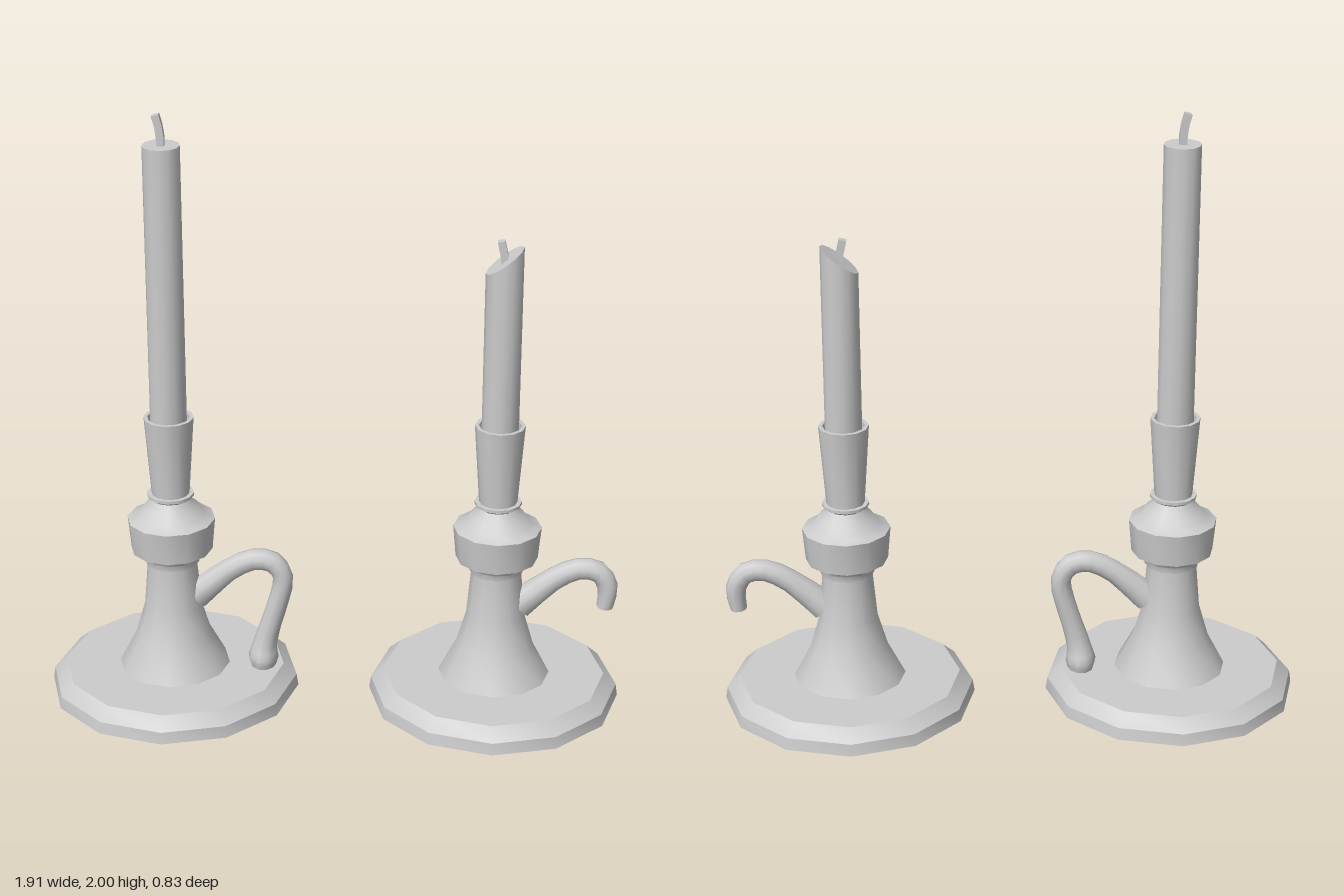
import * as THREE from 'three';
import { toCreasedNormals } from 'three/addons/utils/BufferGeometryUtils.js';

const SIDES = 12;
const material = new THREE.MeshStandardMaterial({ color: 0xcccccc });

function addPart(parent, name, geometry, crease = 0.62) {
  const mesh = new THREE.Mesh(toCreasedNormals(geometry, crease), material);
  mesh.name = name;
  parent.add(mesh);
}

function lathe(profile) {
  return new THREE.LatheGeometry(profile.map(([r, y]) => new THREE.Vector2(r, y)), SIDES);
}

// Capped sweep in the xy plane; each station is [x, y, radius in plane, radius along z]
function sweep(stations, sides, perSpan, turn = 0) {
  const path = new THREE.CatmullRomCurve3(stations.map(([x, y]) => new THREE.Vector3(x, y, 0)));
  const spans = stations.length - 1;
  const count = spans * perSpan;
  const positions = [];
  const index = [];
  for (let i = 0; i <= count; i++) {
    const t = i / count;
    const k = Math.min(Math.floor(i / perSpan), spans - 1);
    const f = i / perSpan - k;
    const rn = THREE.MathUtils.lerp(stations[k][2], stations[k + 1][2], f);
    const rz = THREE.MathUtils.lerp(stations[k][3], stations[k + 1][3], f);
    const c = path.getPoint(t);
    const d = path.getTangent(t);
    for (let j = 0; j < sides; j++) {
      const a = (j / sides) * Math.PI * 2 + turn;
      const n = Math.cos(a) * rn;
      positions.push(c.x - d.y * n, c.y + d.x * n, Math.sin(a) * rz);
    }
  }
  for (let i = 0; i < count; i++) {
    for (let j = 0; j < sides; j++) {
      const a = i * sides + j;
      const b = i * sides + ((j + 1) % sides);
      index.push(a, b, b + sides, a, b + sides, a + sides);
    }
  }
  const last = count * sides;
  for (let j = 1; j < sides - 1; j++) {
    index.push(0, j + 1, j, last, last + j, last + j + 1);
  }
  const geometry = new THREE.BufferGeometry();
  geometry.setAttribute('position', new THREE.Float32BufferAttribute(positions, 3));
  geometry.setIndex(index);
  return geometry;
}

// Candle whose top is cut along a slope rising toward +x
function candle(height, slope) {
  const bottom = 0.9;
  const geometry = new THREE.CylinderGeometry(0.06, 0.06, height - bottom, SIDES);
  geometry.translate(0, (height + bottom) / 2, 0);
  const p = geometry.attributes.position;
  for (let i = 0; i < p.count; i++) {
    if (p.getY(i) > bottom + 0.01) p.setY(i, height + slope * p.getX(i));
  }
  return geometry;
}

// Upper arch shared by both handles
const arch = [
  [0.08, 0.335, 0.05, 0.05],
  [0.19, 0.43, 0.038, 0.04],
  [0.27, 0.47, 0.036, 0.037],
  [0.335, 0.462, 0.036, 0.037],
  [0.368, 0.41, 0.034, 0.037],
];
const wholeHandle = [
  ...arch,
  [0.355, 0.33, 0.034, 0.036],
  [0.328, 0.24, 0.035, 0.036],
  [0.306, 0.16, 0.04, 0.042],
  [0.3, 0.11, 0.051, 0.06],
  [0.3, 0.075, 0.042, 0.052],
];
const brokenHandle = [...arch, [0.362, 0.335, 0.028, 0.034]];

function candlestick(name, x, height, slope, handle, wick) {
  const group = new THREE.Group();
  group.name = name;
  group.position.x = x;

  // Broad dish foot
  addPart(group, 'base', lathe([[0, 0], [0.417, 0], [0.411, 0.04], [0.368, 0.08], [0, 0.08]]));
  // Flared stem
  addPart(group, 'stem', lathe([[0.185, 0.08], [0.128, 0.19], [0.096, 0.3], [0.082, 0.46], [0.082, 0.5]]));
  // Turned bulb and neck rings
  addPart(group, 'bulb', lathe([
    [0.07, 0.46], [0.09, 0.46], [0.092, 0.48], [0.112, 0.505], [0.135, 0.508],
    [0.145, 0.618], [0.11, 0.635], [0.09, 0.662], [0.068, 0.68], [0.062, 0.69],
    [0.077, 0.7], [0.077, 0.71], [0.05, 0.71],
  ]));
  // Tapered socket with a hollow mouth
  addPart(group, 'socket', lathe([[0.062, 0.7], [0.082, 0.98], [0.069, 0.98], [0.062, 0.92], [0, 0.92]]));

  addPart(group, 'candle', candle(height, slope));
  addPart(group, 'wick', sweep(wick.map(([wx, wy]) => [wx, wy, 0.017, 0.017]), 4, 1, Math.PI / 4));
  addPart(group, 'handle', sweep(handle, 10, 2), 0.9);
  return group;
}

export function createModel() {
  const model = new THREE.Group();
  model.name = 'candlesticks';
  model.add(
    candlestick('tallCandlestick', -0.537, 1.9, 0, wholeHandle,
      [[0, 1.88], [-0.001, 1.93], [-0.006, 1.965], [-0.015, 1.998]]),
    candlestick('burntCandlestick', 0.537, 1.545, 0.75, brokenHandle,
      [[0, 1.52], [-0.002, 1.56], [-0.013, 1.61]]),
  );
  return model;
}
